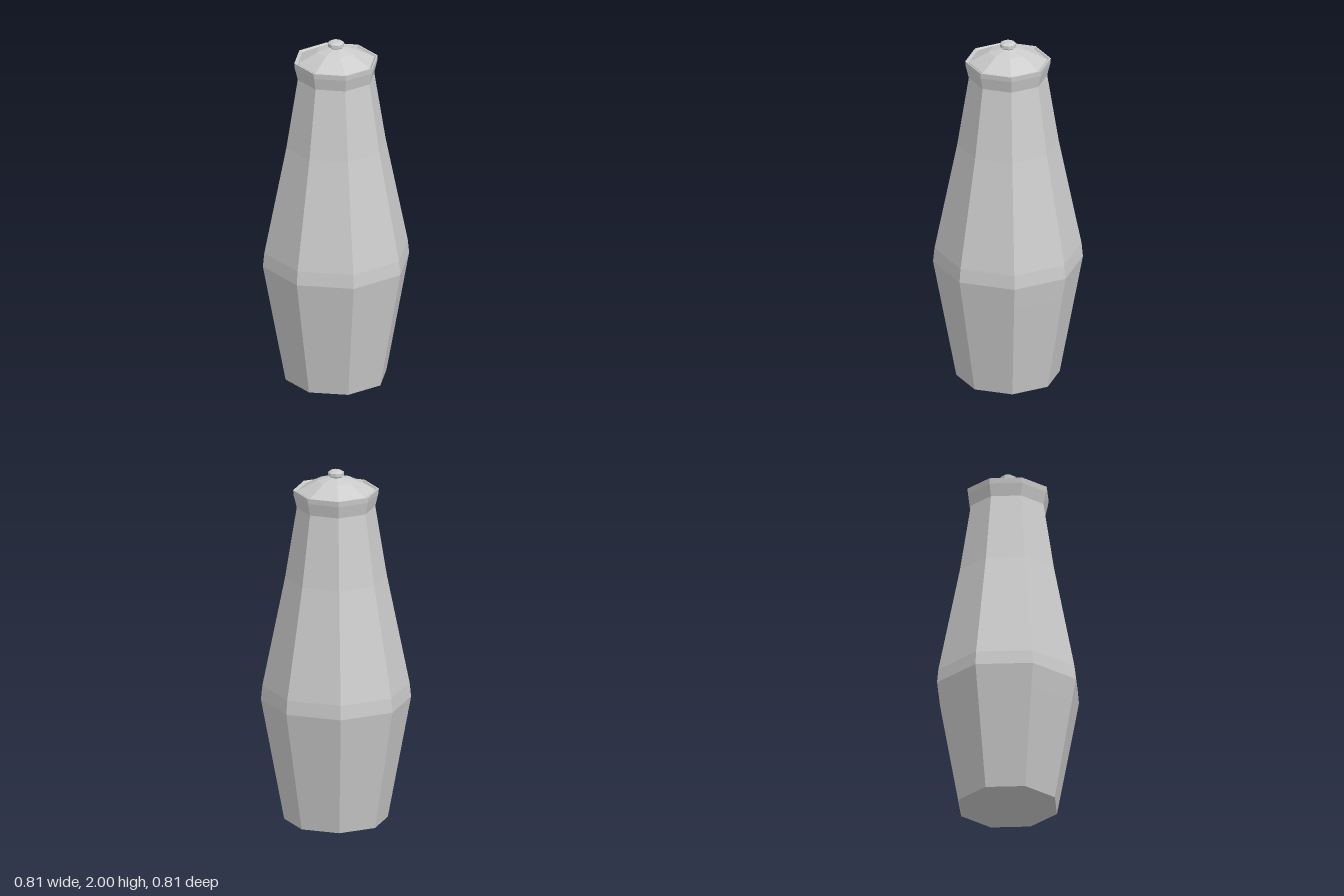
import * as THREE from 'three';

const SIDES = 8;
const TURN = -Math.PI / 16; // the octagon is turned slightly off the front axis

const material = new THREE.MeshStandardMaterial({ color: 0xcccccc, flatShading: true, side: THREE.DoubleSide });

// Faceted turned part from [radius, height] pairs, listed bottom to top
function turned(name, profile) {
  const points = profile.map(([r, y]) => new THREE.Vector2(r, y));
  const mesh = new THREE.Mesh(new THREE.LatheGeometry(points, SIDES, TURN), material);
  mesh.name = name;
  return mesh;
}

export function createModel() {
  const jar = new THREE.Group();
  jar.name = 'liddedJar';

  // Closed base, swelling belly, long shoulder and flared rim with a thin lip
  jar.add(turned('body', [
    [0, 0], [0.285, 0], [0.389, 0.56], [0.413, 0.69], [0.405, 0.77],
    [0.28, 1.39], [0.216, 1.79], [0.233, 1.86], [0.236, 1.89],
    [0.228, 1.89], [0.218, 1.877],
  ]));

  // Shallow domed lid set just inside the rim
  jar.add(turned('lid', [
    [0.218, 1.877], [0.216, 1.884], [0.107, 1.942], [0.03, 1.964], [0, 1.964],
  ]));

  // Small knob on the lid
  jar.add(turned('knob', [
    [0.03, 1.96], [0.045, 1.971], [0.045, 1.99], [0.027, 2], [0, 2],
  ]));

  return jar;
}
